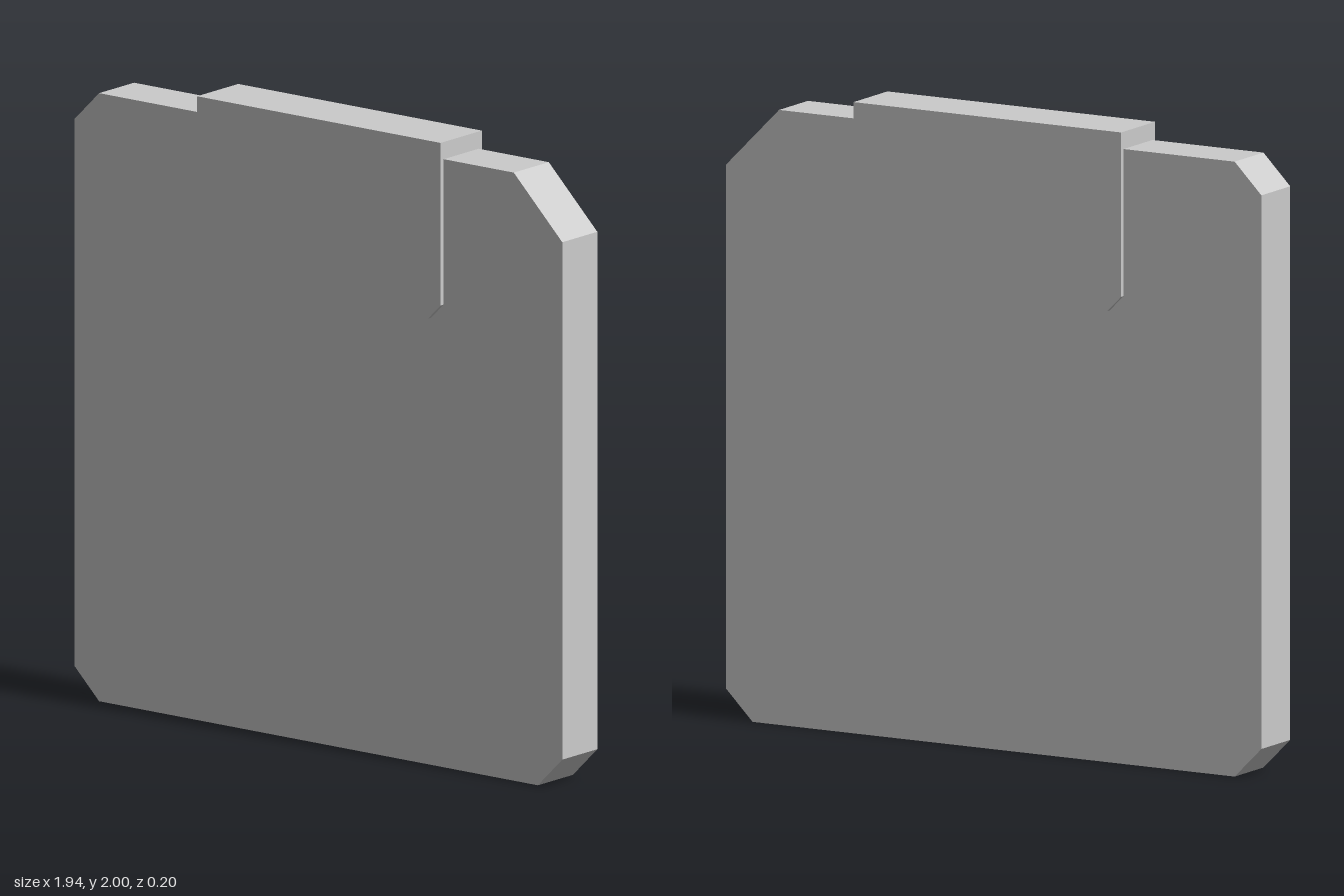
import * as THREE from 'three';

// Flat plate with an outline in x/y, centred on z = 0
function plate(name, points, depth, material) {
  const shape = new THREE.Shape(points.map(([x, y]) => new THREE.Vector2(x, y)));
  const geometry = new THREE.ExtrudeGeometry(shape, { depth, bevelEnabled: false });
  geometry.translate(0, 0, -depth / 2);
  const mesh = new THREE.Mesh(geometry, material);
  mesh.name = name;
  return mesh;
}

export function createModel() {
  const group = new THREE.Group();
  group.name = 'memoryCard';
  const material = new THREE.MeshStandardMaterial({ color: 0xcccccc, flatShading: true });

  // Body with cut corners, the upper one on +x cut deeper
  const w = 0.97, top = 1.945, cut = 0.097, bigCut = 0.193;
  group.add(plate('body', [
    [-w + cut, 0], [w - cut, 0], [w, cut],
    [w, top - bigCut], [w - bigCut, top],
    [-w + cut, top], [-w, top - cut], [-w, cut],
  ], 0.174, material));

  // Thicker block wrapped over the top edge, with cut lower corners
  const x0 = -0.471, x1 = 0.498, y0 = 1.43, y1 = 2, c = 0.05;
  group.add(plate('topClip', [
    [x0 + c, y0], [x1 - c, y0], [x1, y0 + c],
    [x1, y1], [x0, y1], [x0, y0 + c],
  ], 0.205, material));

  return group;
}
